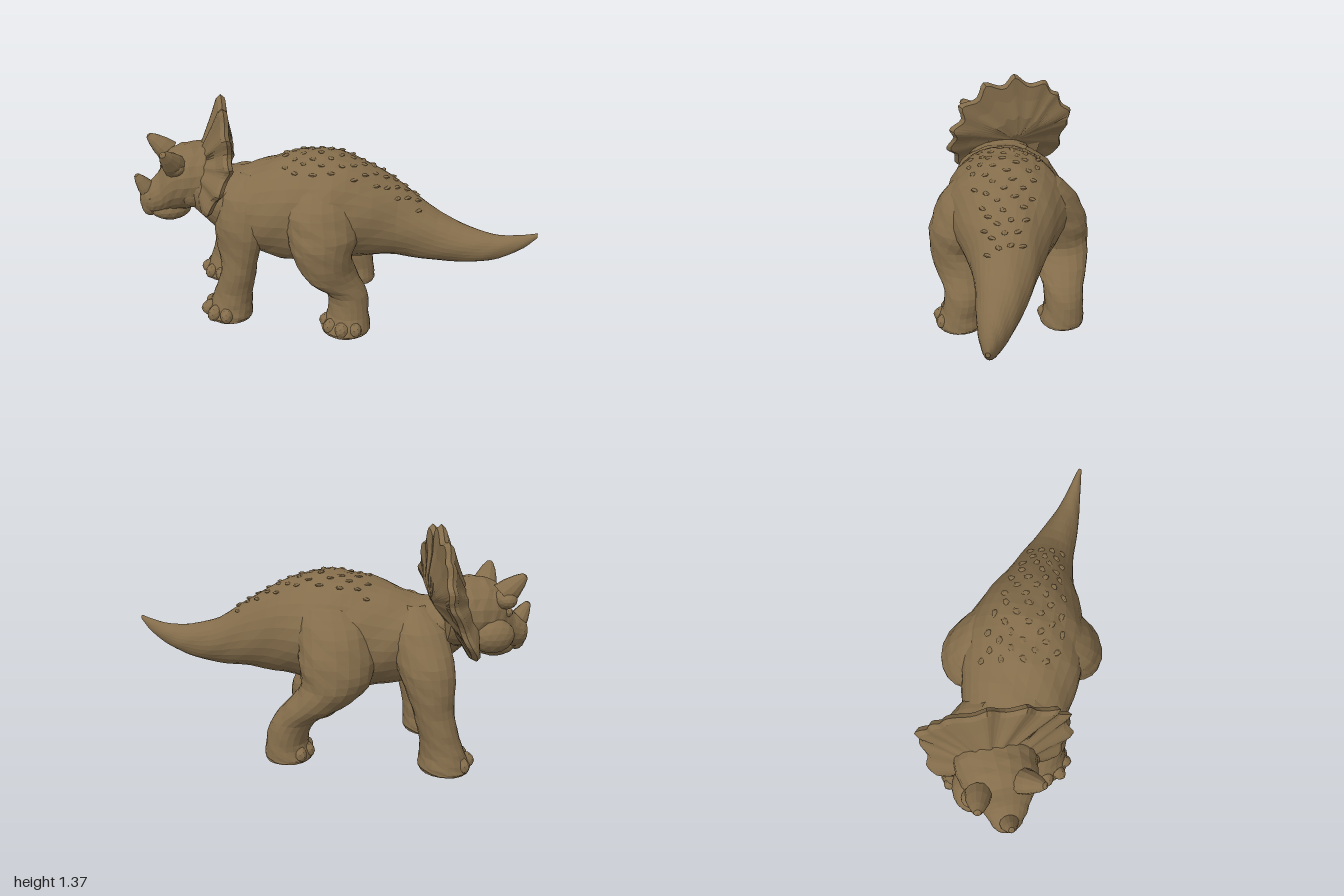
import * as THREE from 'three';

const hide = new THREE.MeshStandardMaterial({ color: 0x846d4b });
hide.name = 'brown hide';
const V = (x, y, z) => new THREE.Vector3(x, y, z);
const UP = V(0, 1, 0);

// Faceted mesh: every face keeps its own normal
function facet(name, geo) {
  const g = geo.index ? geo.toNonIndexed() : geo;
  g.computeVertexNormals();
  const mesh = new THREE.Mesh(g, hide);
  mesh.name = name;
  return mesh;
}

// Skin a list of closed rings and cap both ends
function skin(name, rings) {
  const n = rings[0].length, pos = [], idx = [];
  rings.forEach(r => r.forEach(p => pos.push(p.x, p.y, p.z)));
  for (let i = 0; i < rings.length - 1; i++) {
    for (let j = 0; j < n; j++) {
      const a = i * n + j, b = i * n + (j + 1) % n;
      idx.push(a, b, a + n, b, b + n, a + n);
    }
  }
  [0, rings.length - 1].forEach((k, end) => {
    const c = V(0, 0, 0);
    rings[k].forEach(p => c.addScaledVector(p, 1 / n));
    const ci = pos.length / 3;
    pos.push(c.x, c.y, c.z);
    for (let j = 0; j < n; j++) {
      const a = k * n + j, b = k * n + (j + 1) % n;
      if (end) idx.push(ci, a, b); else idx.push(ci, b, a);
    }
  });
  const g = new THREE.BufferGeometry();
  g.setAttribute('position', new THREE.Float32BufferAttribute(pos, 3));
  g.setIndex(idx);
  return facet(name, g);
}

// Surface from rows [x, y, z, radius 1, radius 2]; upright sections for trunk, level ones for legs
function surface(rows, level) {
  const path = new THREE.CatmullRomCurve3(rows.map(r => V(r[0], r[1], r[2])));
  const size = new THREE.CatmullRomCurve3(rows.map(r => V(r[3], r[4], 0)));
  return (t, a) => {
    const p = path.getPoint(t), s = size.getPoint(t);
    const u = level ? V(1, 0, 0) : V(0, 0, 0).crossVectors(UP, path.getTangent(t)).normalize();
    const v = level ? V(0, 0, 1) : UP;
    const k = 1 + 0.012 * Math.sin(a * 5 + t * 60) + 0.008 * Math.sin(a * 3 - t * 37);
    return p.addScaledVector(u, s.x * k * Math.cos(a)).addScaledVector(v, s.y * k * Math.sin(a));
  };
}

function loft(name, rows, level, sides = 20, perRow = 3) {
  const f = surface(rows, level), steps = (rows.length - 1) * perRow, rings = [];
  for (let i = 0; i <= steps; i++) {
    rings.push(Array.from({ length: sides }, (_, j) => f(i / steps, j / sides * Math.PI * 2)));
  }
  return skin(name, rings);
}

function ball(name, x, y, z, sx, sy, sz, yaw = 0, detail = 2) {
  const m = facet(name, new THREE.IcosahedronGeometry(1, detail));
  m.position.set(x, y, z);
  m.scale.set(sx, sy, sz);
  m.rotation.y = yaw;
  return m;
}

function horn(name, base, tip, r) {
  const d = tip.clone().sub(base), len = d.length();
  const profile = [[0, 0], [r, 0], [r * 0.85, len * 0.35], [r * 0.55, len * 0.72], [r * 0.27, len * 0.95], [0, len]];
  const m = facet(name, new THREE.LatheGeometry(profile.map(p => new THREE.Vector2(...p)), 12));
  m.position.copy(base);
  m.quaternion.setFromUnitVectors(UP, d.normalize());
  return m;
}

// Leg with a fan of toes; heading is the angle of the foot from +z toward +x
function leg(name, rows, heading) {
  const g = new THREE.Group();
  g.name = name;
  g.add(loft(name + 'Limb', rows, true));
  const [x, , z, r] = rows[rows.length - 1];
  for (const da of [-1.05, -0.36, 0.36, 1.05]) {
    const a = heading + da, d = r - 0.045;
    g.add(ball('toe', x + d * Math.sin(a), 0.055, z + d * Math.cos(a), 0.046, 0.055, 0.068, a, 1));
  }
  return g;
}

export function createModel() {
  const model = new THREE.Group();
  model.name = 'hornedDinosaur';

  // Trunk and tail: x, z, top, bottom, half width
  const trunkRows = [
    [-0.66, 0.52, 1.0, 0.68, 0.16], [-0.56, 0.41, 0.95, 0.54, 0.22], [-0.47, 0.31, 0.93, 0.46, 0.28],
    [-0.35, 0.2, 0.98, 0.4, 0.33], [-0.2, 0.07, 1.045, 0.36, 0.365], [-0.06, -0.06, 1.06, 0.38, 0.375],
    [0.12, -0.21, 1.0, 0.41, 0.3], [0.3, -0.355, 0.87, 0.42, 0.205], [0.5, -0.49, 0.71, 0.41, 0.145],
    [0.7, -0.61, 0.63, 0.43, 0.095], [0.82, -0.69, 0.615, 0.47, 0.06], [0.93, -0.77, 0.635, 0.55, 0.03],
    [0.99, -0.81, 0.655, 0.625, 0.012],
  ].map(([x, z, t, b, w]) => [x, (t + b) / 2, z, w, (t - b) / 2]);
  model.add(loft('bodyAndTail', trunkRows, false, 28));

  // Low scales strewn along the back
  const back = surface(trunkRows, false);
  for (let i = 0; i < 50; i++) {
    const t = 0.3 + 0.33 * ((i * 0.7549) % 1);
    const p = back(t, Math.PI / 2 + 1.3 * ((i * 0.5698) % 1 - 0.5));
    model.add(ball('backScale', p.x, p.y - 0.002, p.z, 0.028, 0.009, 0.02, i, 0));
  }

  // Legs
  model.add(leg('leftHindLeg', [
    [-0.01, 0.98, 0.0, 0.06, 0.06], [0.02, 0.9, 0.04, 0.17, 0.2], [0.07, 0.77, 0.085, 0.21, 0.24],
    [0.12, 0.64, 0.11, 0.205, 0.235], [0.15, 0.52, 0.15, 0.175, 0.185], [0.2, 0.37, 0.11, 0.125, 0.17],
    [0.24, 0.25, 0.025, 0.12, 0.125], [0.255, 0.12, 0.03, 0.13, 0.125], [0.26, 0.03, 0.05, 0.15, 0.155],
    [0.26, 0.01, 0.05, 0.145, 0.15]], 0.25));
  model.add(leg('rightHindLeg', [
    [-0.15, 0.98, -0.1, 0.06, 0.06], [-0.2, 0.9, -0.14, 0.18, 0.18], [-0.28, 0.77, -0.17, 0.22, 0.22],
    [-0.345, 0.62, -0.2, 0.215, 0.225], [-0.37, 0.48, -0.23, 0.19, 0.2], [-0.3, 0.36, -0.31, 0.17, 0.18],
    [-0.21, 0.25, -0.41, 0.13, 0.125], [-0.18, 0.12, -0.44, 0.12, 0.125], [-0.18, 0.03, -0.43, 0.14, 0.14],
    [-0.18, 0.01, -0.43, 0.135, 0.135]], -0.5));
  model.add(leg('leftFrontLeg', [
    [-0.35, 0.93, 0.3, 0.06, 0.06], [-0.33, 0.82, 0.35, 0.16, 0.16], [-0.315, 0.64, 0.41, 0.185, 0.145],
    [-0.315, 0.48, 0.44, 0.17, 0.11], [-0.29, 0.35, 0.455, 0.118, 0.105], [-0.33, 0.2, 0.47, 0.128, 0.11],
    [-0.35, 0.1, 0.485, 0.145, 0.125], [-0.36, 0.03, 0.5, 0.16, 0.145], [-0.36, 0.01, 0.5, 0.155, 0.14]], -0.2));
  model.add(leg('rightFrontLeg', [
    [-0.52, 0.91, 0.22, 0.06, 0.06], [-0.58, 0.79, 0.2, 0.16, 0.16], [-0.67, 0.62, 0.17, 0.18, 0.16],
    [-0.735, 0.48, 0.16, 0.145, 0.14], [-0.775, 0.34, 0.16, 0.115, 0.115], [-0.805, 0.2, 0.18, 0.12, 0.11],
    [-0.815, 0.1, 0.2, 0.14, 0.125], [-0.82, 0.03, 0.21, 0.155, 0.145], [-0.82, 0.01, 0.21, 0.15, 0.14]], -0.35));

  // Scalloped frill: outline swept into a curved shield, thick toward the face
  const outline = new THREE.CatmullRomCurve3([
    [-0.98, 0.69], [-1.0, 0.76], [-0.96, 0.85], [-0.96, 0.95], [-0.94, 1.0], [-0.95, 1.08], [-0.895, 1.13],
    [-0.87, 1.21], [-0.83, 1.23], [-0.79, 1.305], [-0.69, 1.295], [-0.6, 1.37], [-0.53, 1.3], [-0.42, 1.335],
    [-0.37, 1.23], [-0.27, 1.2], [-0.28, 1.1], [-0.21, 1.04], [-0.25, 0.97], [-0.24, 0.88], [-0.31, 0.82],
    [-0.35, 0.73], [-0.42, 0.7], [-0.5, 0.76], [-0.64, 0.72], [-0.85, 0.66],
  ].map(p => V(p[0], p[1], 0)), true);
  const edge = outline.getPoints(90).slice(0, 90);
  const shield = (s, depth) => edge.map((p, j) => {
    const x = -0.62 + (p.x + 0.62) * s, y = 0.92 + (p.y - 0.92) * s;
    const z = 0.545 + 0.6 * (x + 0.21) + 0.04 * (y - 1.04) + 0.6 * Math.max(0, 1.02 - y);
    const fold = 0.005 * s * Math.sin(j / 90 * Math.PI * 2 * 13);
    return V(x + depth * 0.5, y, z - depth * 0.85 + fold);
  });
  model.add(skin('frill', [[0.1, -0.16], [0.4, -0.13], [0.7, -0.07], [0.95, -0.025], [1, 0], [0.95, 0.025],
    [0.7, 0.03], [0.4, 0.05], [0.1, 0.07]].map(r => shield(...r))));

  // Head and snout
  const head = new THREE.Group();
  head.name = 'head';
  const yaw = -0.4;
  head.add(loft('skull', [
    [-0.62, 0.88, 0.32, 0.2, 0.2], [-0.67, 0.87, 0.43, 0.235, 0.2], [-0.715, 0.86, 0.54, 0.22, 0.205],
    [-0.755, 0.84, 0.625, 0.18, 0.185], [-0.79, 0.765, 0.69, 0.13, 0.125], [-0.82, 0.735, 0.75, 0.095, 0.095],
    [-0.83, 0.73, 0.785, 0.065, 0.075], [-0.835, 0.725, 0.805, 0.02, 0.03]], false, 20));
  head.add(ball('lowerJaw', -0.755, 0.66, 0.64, 0.11, 0.075, 0.13, yaw));
  head.add(ball('beak', -0.82, 0.69, 0.75, 0.065, 0.075, 0.055, yaw));
  head.add(horn('noseHorn', V(-0.82, 0.775, 0.745), V(-0.845, 0.9, 0.815), 0.06));
  head.add(horn('leftBrowHorn', V(-0.64, 0.97, 0.65), V(-0.57, 1.095, 0.77), 0.075));
  head.add(horn('rightBrowHorn', V(-0.87, 0.985, 0.56), V(-0.94, 1.1, 0.66), 0.075));
  for (const [side, x, z] of [['left', -0.64, 0.665], ['right', -0.885, 0.58]]) {
    head.add(ball(side + 'Brow', x, 0.965, z - 0.02, 0.085, 0.055, 0.065, yaw));
    head.add(ball(side + 'Eye', x, 0.885, z + 0.01, 0.035, 0.03, 0.03, yaw, 1));
  }
  head.add(ball('leftCheek', -0.585, 0.79, 0.56, 0.09, 0.09, 0.1, yaw));
  head.add(ball('rightCheek', -0.89, 0.77, 0.47, 0.095, 0.1, 0.13, yaw));
  head.add(ball('leftNostril', -0.765, 0.755, 0.765, 0.028, 0.03, 0.03, yaw, 1));
  head.add(ball('rightNostril', -0.88, 0.75, 0.72, 0.028, 0.03, 0.03, yaw, 1));
  model.add(head);
  return model;
}
